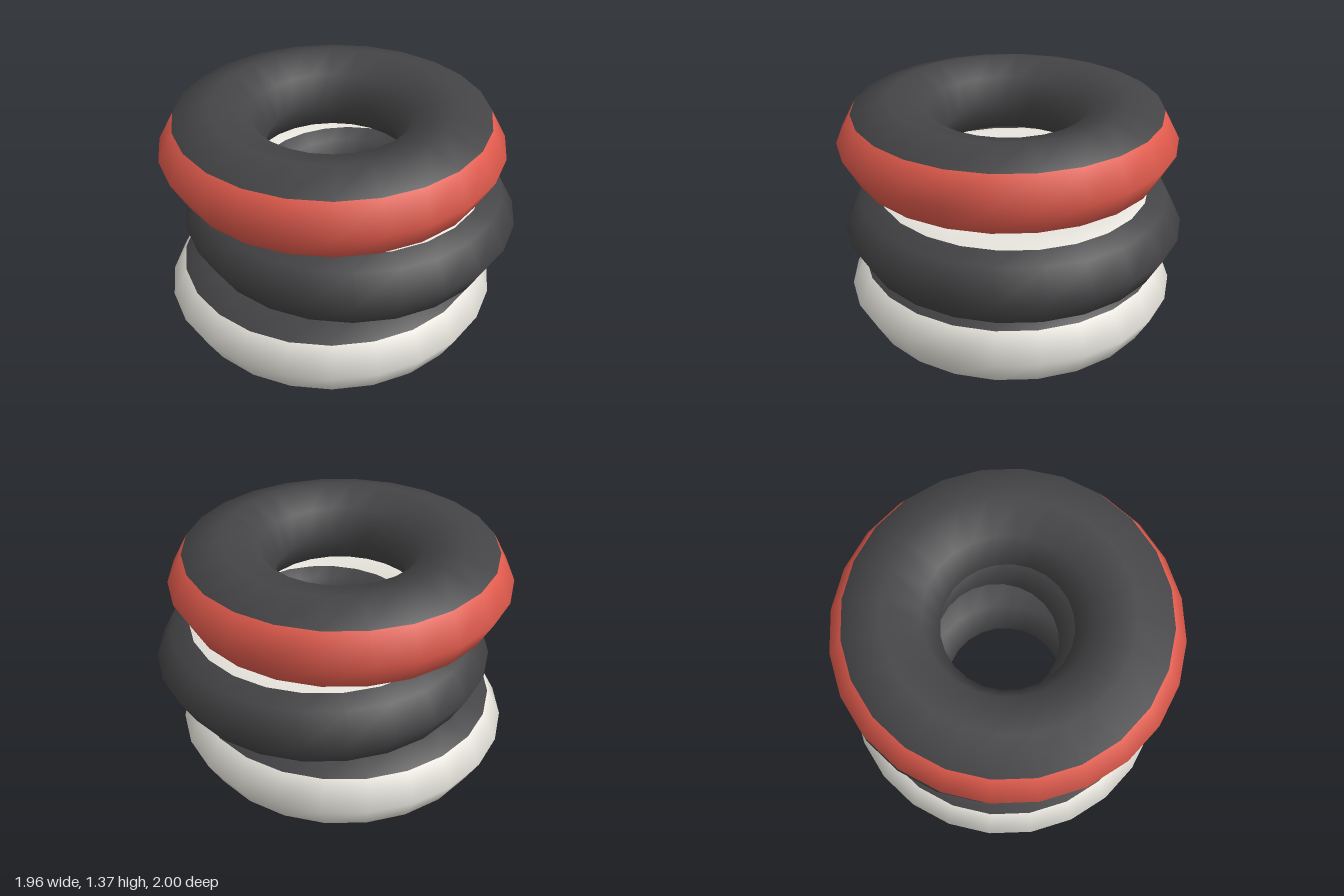
import * as THREE from 'three';

const RING = 0.655;    // radius of the tyre's centre line
const TUBE = 0.295;    // half width of the tyre wall
const HALF = 0.228;    // half height of a tyre
const SIDES = 8;       // facets around the tube
const SEGMENTS = 24;   // facets around the tyre

const mat = (color) => new THREE.MeshStandardMaterial({ color });
const rubber = mat(0x444446);
const red = mat(0xe05a4c);
const white = mat(0xe6e4dc);

// One tyre: the two outermost rows of the torus form the tread, the rest the body.
function makeTyre(name, treadMaterial) {
  const tyre = new THREE.Group();
  tyre.name = name;
  const torus = new THREE.TorusGeometry(RING, TUBE, SIDES, SEGMENTS);
  torus.rotateX(-Math.PI / 2);
  torus.scale(1, HALF / TUBE, 1);

  const index = Array.from(torus.index.array);
  const row = SEGMENTS * 6;
  const last = row * (SIDES - 1);
  const addPart = (partName, faces, material) => {
    const geometry = torus.clone();
    geometry.setIndex(faces);
    const mesh = new THREE.Mesh(geometry, material);
    mesh.name = partName;
    tyre.add(mesh);
  };
  addPart('tread', [...index.slice(0, row), ...index.slice(last)], treadMaterial);
  addPart('tyreBody', index.slice(row, last), rubber);
  return tyre;
}

// Painted stripe lying on the upper side of a tyre.
function makeStripe() {
  const lift = 0.002;
  const profile = [[0.757, 0.195], [RING, HALF], [0.54, 0.191]]
    .map(([r, y]) => new THREE.Vector2(r, y + lift));
  const stripe = new THREE.Mesh(new THREE.LatheGeometry(profile, SEGMENTS), white);
  stripe.name = 'topStripe';
  return stripe;
}

export function createModel() {
  const model = new THREE.Group();
  model.name = 'tyreStack';

  // Three tyres stacked slightly off centre
  const bottom = makeTyre('bottomTyre', white);
  bottom.position.set(-0.03, 0.236, 0.048);

  const middle = makeTyre('middleTyre', rubber);
  middle.position.set(0.03, 0.693, -0.048);
  middle.add(makeStripe());

  const top = makeTyre('topTyre', red);
  top.position.set(-0.01, 1.151, 0.048);

  model.add(bottom, middle, top);
  return model;
}
